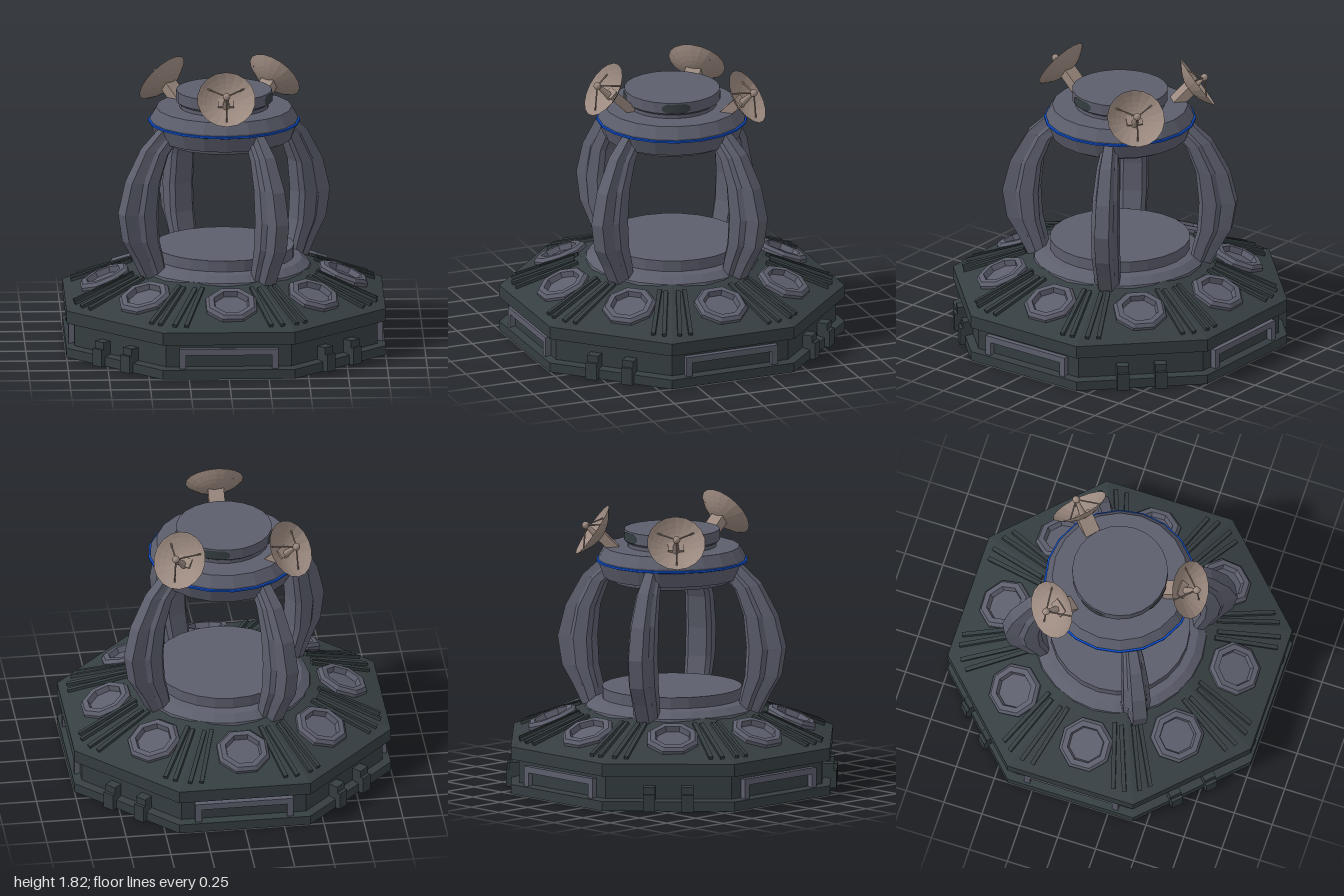
import * as THREE from 'three';

const mat = (name, color, side = THREE.FrontSide) => {
  const m = new THREE.MeshStandardMaterial({ color, side });
  m.name = name;
  return m;
};

// Faceted normals for hard low-poly surfaces
function facet(g) {
  const f = g.index ? g.toNonIndexed() : g;
  f.computeVertexNormals();
  return f;
}

function add(parent, name, geometry, material, pos = [0, 0, 0], rot = [0, 0, 0]) {
  const m = new THREE.Mesh(geometry, material);
  m.name = name;
  m.position.set(...pos);
  m.rotation.set(...rot);
  parent.add(m);
  return m;
}

function spoke(parent, name, angle) {
  const g = new THREE.Group();
  g.name = name;
  g.rotation.y = angle;
  parent.add(g);
  return g;
}

// Profile [radius, y], listed bottom to top
const lathe = (pts, segs, phase = 0) =>
  facet(new THREE.LatheGeometry(pts.map(p => new THREE.Vector2(...p)), segs, phase));

// Octagonal solid whose radii are measured to the flats
const octagon = pts =>
  lathe(pts.map(([r, y]) => [r / Math.cos(Math.PI / 8), y]), 8, Math.PI / 8);

// Thin rod between two points
function rod(parent, name, a, b, r0, r1, material) {
  const A = new THREE.Vector3(...a), B = new THREE.Vector3(...b);
  const m = add(parent, name, new THREE.CylinderGeometry(r1, r0, A.distanceTo(B), 6), material);
  m.position.copy(A).lerp(B, 0.5);
  m.quaternion.setFromUnitVectors(new THREE.Vector3(0, 1, 0), B.sub(A).normalize());
}

// Curved leg lofted through stepped cross-sections
function legGeometry() {
  // [inner radius, inner y, outer radius, outer y, width scale]
  const rows = [
    [0.36, 1.33, 0.44, 1.43, 0.6], [0.43, 1.26, 0.58, 1.3, 0.8], [0.49, 1.1, 0.69, 1.1, 0.95],
    [0.51, 0.9, 0.74, 0.9, 1], [0.5, 0.72, 0.71, 0.72, 1], [0.47, 0.6, 0.64, 0.6, 0.95],
    [0.44, 0.44, 0.56, 0.44, 0.9],
  ];
  // [half width, depth from inner to outer]
  const half = [[0.06, 0], [0.085, 0.12], [0.085, 0.5], [0.06, 0.62], [0.045, 1]];
  const section = [...half, ...half.map(([w, t]) => [-w, t]).reverse()];
  const n = section.length, pos = [], idx = [];
  for (const [ri, yi, ro, yo, s] of rows)
    for (const [w, t] of section) pos.push(w * s, yi + (yo - yi) * t, ri + (ro - ri) * t);
  for (let i = 0; i < rows.length - 1; i++)
    for (let j = 0; j < n; j++) {
      const k = (j + 1) % n, a = i * n + j, b = i * n + k, c = b + n, d = a + n;
      idx.push(a, b, c, a, c, d);
    }
  const g = new THREE.BufferGeometry();
  g.setAttribute('position', new THREE.Float32BufferAttribute(pos, 3));
  g.setIndex(idx);
  return facet(g);
}

// Plate with clipped ends, wrapped around the collar
function windowGeometry(radius, width, height) {
  const g = new THREE.PlaneGeometry(width, height, 10, 1);
  const p = g.attributes.position;
  for (let i = 0; i < p.count; i++) {
    const x = p.getX(i), a = x / radius;
    const taper = Math.min(1, 0.4 + (1 - Math.abs(x) / (width / 2)) * 2);
    p.setXYZ(i, radius * Math.sin(a), p.getY(i) * taper, radius * Math.cos(a));
  }
  g.computeVertexNormals();
  return g;
}

export function createModel() {
  const model = new THREE.Group();
  model.name = 'antennaStation';
  const dark = mat('dark hull', 0x353e41);
  const grey = mat('blue grey metal', 0x5c5e6c);
  const tan = mat('dish tan', 0x9c8a80, THREE.DoubleSide);
  const blue = mat('blue trim', 0x0d4fd2);

  // Octagonal base with recessed walls and sloped roof
  add(model, 'base', octagon([[0, 0], [1, 0], [1, 0.06], [0.95, 0.07], [0.95, 0.22], [1, 0.22],
    [1, 0.3], [0.5, 0.5], [0, 0.5]]), dark);

  const slope = Math.atan(0.4);
  const pocket = octagon([[0.158, -0.03], [0.158, 0.02], [0.14, 0.04], [0.108, 0.04],
    [0.1, 0.004], [0, 0.004]]);
  const rib = facet(new THREE.BoxGeometry(0.026, 0.03, 0.42));
  for (let i = 0; i < 8; i++) {
    // Roof pockets, turned very slightly against the base
    const p = spoke(model, 'roofPocket', i * Math.PI / 4 + 0.03);
    add(p, 'pocketFrame', pocket, grey, [0, 0.402, 0.745], [slope, 0, 0]);

    // Radial ribs beside each corner
    const face = spoke(model, 'roofFace', i * Math.PI / 4);
    const plane = new THREE.Group();
    plane.name = 'roofRibs';
    plane.position.set(0, 0.3, 1);
    plane.rotation.x = slope;
    face.add(plane);
    for (const s of [-1, 1])
      for (const deg of [15.5, 19.5]) {
        const a = s * deg * Math.PI / 180;
        add(plane, 'roofRib', rib, dark, [0.76 * Math.tan(a), 0.005, -0.26], [0, a, 0]);
      }

    // Wall details: arches on the straight sides, clamps on the diagonals
    if (i % 2 === 0) {
      add(face, 'archBar', facet(new THREE.BoxGeometry(0.62, 0.04, 0.06)), grey, [0, 0.17, 0.955]);
      for (const s of [-1, 1])
        add(face, 'archPost', facet(new THREE.BoxGeometry(0.04, 0.1, 0.06)), grey, [s * 0.29, 0.11, 0.955]);
    } else {
      for (const s of [-1, 1]) {
        add(face, 'clamp', facet(new THREE.BoxGeometry(0.075, 0.11, 0.11)), dark, [s * 0.12, 0.055, 0.98]);
        add(face, 'clampTop', facet(new THREE.BoxGeometry(0.075, 0.05, 0.08)), dark, [s * 0.12, 0.13, 0.975]);
      }
    }
  }

  // Round platform between the legs
  add(model, 'platform', lathe([[0.55, 0.46], [0.54, 0.5], [0.49, 0.54], [0.44, 0.55],
    [0.44, 0.62], [0, 0.62]], 24), grey);

  // Four bowed legs
  const leg = legGeometry();
  for (let i = 0; i < 4; i++)
    add(spoke(model, 'legMount', i * Math.PI / 2 + 0.49), 'leg', leg, grey);

  // Upper ring, hollow underneath, with trim and collar
  add(model, 'upperRing', lathe([[0, 1.33], [0.33, 1.33], [0.335, 1.29], [0.37, 1.29], [0.375, 1.31],
    [0.43, 1.32], [0.465, 1.42], [0.465, 1.44], [0.425, 1.51], [0, 1.515]], 20), grey);
  add(model, 'blueTrim', lathe([[0.46, 1.412], [0.476, 1.417], [0.476, 1.428], [0.46, 1.432]], 20), blue);
  add(model, 'collar', lathe([[0.28, 1.51], [0.28, 1.535], [0.3, 1.55], [0.3, 1.62], [0, 1.62]], 24), grey);
  const pane = windowGeometry(0.304, 0.18, 0.06);
  for (let i = 0; i < 4; i++)
    add(spoke(model, 'collarWindow', i * Math.PI / 2 - 0.3), 'windowPane', pane, dark, [0, 1.583, 0]);

  // Three tilted dishes
  const profile = [];
  for (let i = 0; i <= 6; i++) {
    const t = i / 6;
    profile.push(new THREE.Vector2(0.183 * t, 0.075 * (t * t - 1)));
  }
  const bowl = facet(new THREE.LatheGeometry(profile, 18));
  for (const [angle, out, drop] of [[0, 0, 0], [2.42, 0.035, 0.055], [-2.28, 0.035, 0.055]]) {
    const mount = spoke(model, 'dishMount', angle);
    add(mount, 'dishArm', facet(new THREE.BoxGeometry(0.1, 0.2, 0.06)), tan,
      [0, 1.57 - drop, 0.345 + out], [0.8, 0, 0]);
    const dish = new THREE.Group();
    dish.name = 'dish';
    dish.position.set(0, 1.67 - drop, 0.465 + out);
    dish.rotation.x = 0.963;
    mount.add(dish);
    add(dish, 'dishBowl', bowl, tan);
    add(dish, 'receiver', new THREE.SphereGeometry(0.024, 10, 8), tan, [0, 0.05, 0]);
    rod(dish, 'feedHorn', [0, -0.075, 0.02], [0, 0.04, 0], 0.025, 0.012, tan);
    for (const a of [0, 2.2, -2.2])
      rod(dish, 'strut', [0.14 * Math.sin(a), -0.03, 0.14 * Math.cos(a)], [0, 0.05, 0], 0.005, 0.005, tan);
  }
  return model;
}
